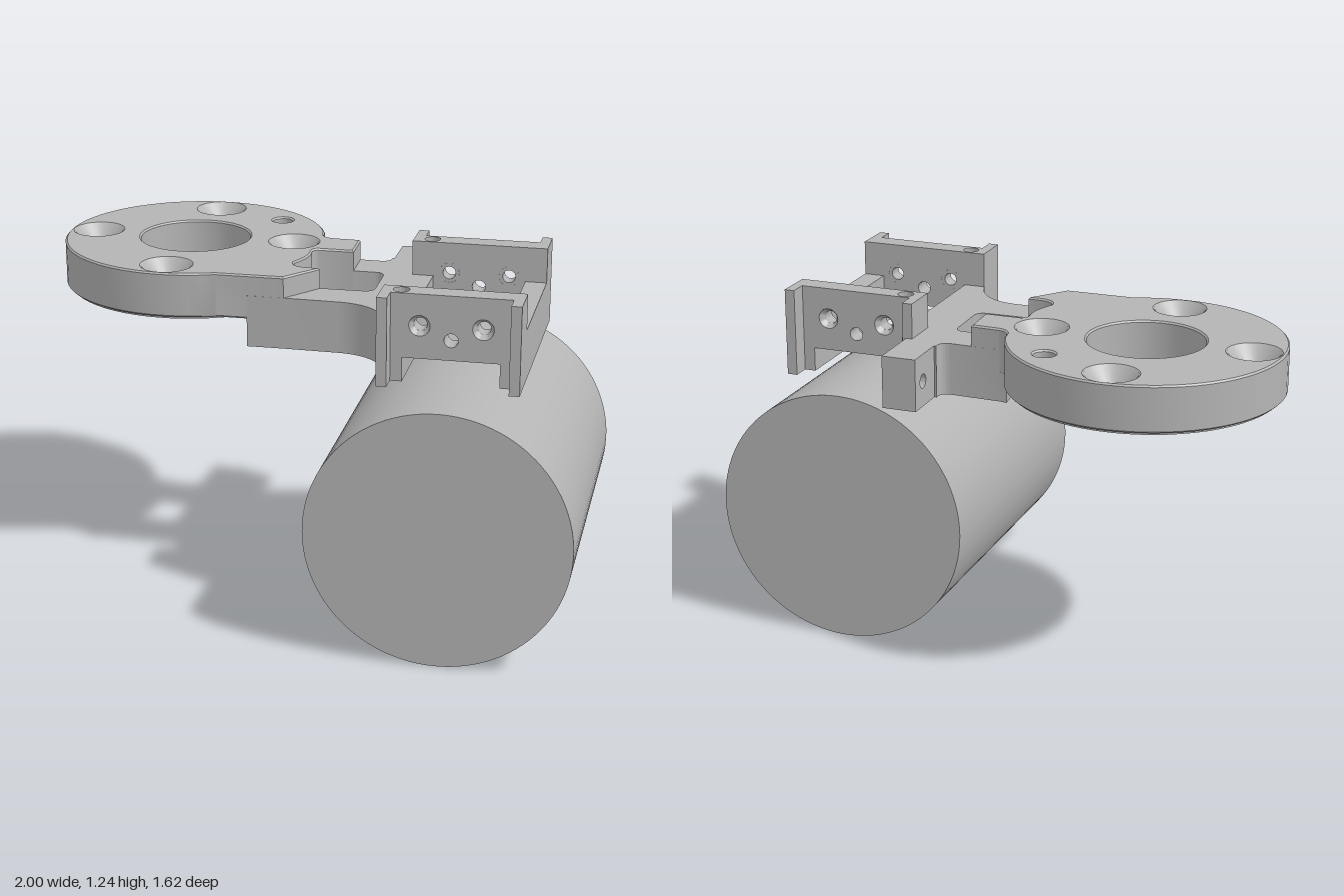
import * as THREE from 'three';
import { toCreasedNormals } from 'three/addons/utils/BufferGeometryUtils.js';

const grey = new THREE.MeshStandardMaterial({ color: 0xb4b4b4 });
grey.name = 'metal grey';

const DISC = { x: -0.525, z: -0.335, r: 0.475 };
const TILT = 0.167;

function part(name, geo, parent, x = 0, y = 0, z = 0) {
  const m = new THREE.Mesh(geo, grey);
  m.name = name;
  m.position.set(x, y, z);
  parent.add(m);
  return m;
}

function box(name, parent, x0, x1, y0, y1, z0, z1) {
  return part(name, new THREE.BoxGeometry(x1 - x0, y1 - y0, z1 - z0), parent,
    (x0 + x1) / 2, (y0 + y1) / 2, (z0 + z1) / 2);
}

function circleHole(shape, x, y, r) {
  shape.holes.push(new THREE.Path().absarc(x, y, r, 0, Math.PI * 2, true));
}

function extrude(shape, depth, bevel = 0) {
  const geo = new THREE.ExtrudeGeometry(shape, {
    depth: depth - 2 * bevel, bevelEnabled: bevel > 0, bevelSize: bevel,
    bevelThickness: bevel, bevelOffset: -bevel, bevelSegments: 1, curveSegments: 24,
  });
  geo.translate(0, 0, bevel);
  return toCreasedNormals(geo, 0.5);
}

// Plan shapes are drawn as (x, -z) and raised along y
const slab = (shape, depth, bevel) => extrude(shape, depth, bevel).rotateX(-Math.PI / 2);

// Lining of a countersunk hole, top at y = 0
function funnel(outer, inner, cone, depth) {
  const pts = [[outer, 0], [inner, -cone], [inner, -depth], [outer, -depth]];
  return toCreasedNormals(new THREE.LatheGeometry(pts.map((p) => new THREE.Vector2(...p)), 24), 0.5);
}

// Pocket between disc and frame; also used as the edge of the neck
function pocketPath() {
  const p = new THREE.Path();
  p.moveTo(-0.07, 0.185);
  p.lineTo(0.14, 0.15);
  p.quadraticCurveTo(0.172, 0.145, 0.168, 0.11);
  p.lineTo(0.145, -0.04);
  p.quadraticCurveTo(0.138, -0.075, 0.1, -0.07);
  p.lineTo(-0.1, -0.04);
  p.quadraticCurveTo(-0.15, -0.025, -0.143, 0.02);
  p.quadraticCurveTo(-0.09, 0.09, -0.09, 0.15);
  p.quadraticCurveTo(-0.09, 0.18, -0.07, 0.185);
  return p;
}

function buildDisc(parent) {
  // Upper plate: round flange with a short neck
  const s = new THREE.Shape();
  s.moveTo(-0.41, -0.126);
  s.lineTo(-0.17, -0.165);
  s.lineTo(-0.05, -0.05);
  s.lineTo(-0.1, -0.04);
  s.quadraticCurveTo(-0.15, -0.025, -0.143, 0.02);
  s.quadraticCurveTo(-0.09, 0.09, -0.09, 0.15);
  s.quadraticCurveTo(-0.09, 0.18, -0.07, 0.185);
  s.lineTo(0.06, 0.163);
  s.lineTo(0.08, 0.305);
  s.lineTo(-0.02, 0.325);
  s.quadraticCurveTo(-0.053, 0.335, -0.057, 0.37);
  s.absarc(DISC.x, -DISC.z, DISC.r, 0.16, Math.PI * 2 - 1.326, false);
  circleHole(s, DISC.x, -DISC.z, 0.2);
  const bolts = [[-0.465, -0.705], [-0.89, -0.4], [-0.59, 0.03], [-0.16, -0.275]];
  bolts.forEach(([x, z]) => circleHole(s, x, -z, 0.088));
  circleHole(s, -0.22, 0.555, 0.037);
  part('mountingDisc', slab(s, 0.16, 0.006), parent, 0, 1.03, 0);
  bolts.forEach(([x, z]) =>
    part('boltHole', funnel(0.09, 0.045, 0.05, 0.15), parent, x, 1.188, z));
  part('discFloor', new THREE.CylinderGeometry(0.457, 0.457, 0.025, 64), parent, DISC.x, 1.0325, DISC.z);
}

function buildArm(parent) {
  // Lower plate hugging the disc, with a pocket
  const s = new THREE.Shape();
  s.moveTo(-0.3, -0.145);
  s.lineTo(-0.17, -0.165);
  s.lineTo(0.02, -0.2);
  s.bezierCurveTo(0.1, -0.215, 0.17, -0.27, 0.18, -0.38);
  s.lineTo(0.225, -0.394);
  s.lineTo(0.334, 0.257);
  s.lineTo(0.196, 0.33);
  s.quadraticCurveTo(0.195, 0.285, 0.15, 0.292);
  s.lineTo(-0.02, 0.325);
  s.lineTo(-0.05, 0.335);
  s.absarc(DISC.x, -DISC.z, DISC.r, 0, -1.08, true);
  s.closePath();
  s.holes.push(pocketPath());
  part('arm', slab(s, 0.185), parent, 0, 0.93, 0);
}

function buildFrame(parent) {
  const g = new THREE.Group();
  g.name = 'clampFrame';
  g.position.set(0.46, 0, 0.2);
  g.rotation.y = -TILT;
  parent.add(g);

  // Side rails and the four corner flanges
  for (const side of [-1, 1]) {
    const xs = (a, b) => (side > 0 ? [a, b] : [-b, -a]);
    box('sideRail', g, ...xs(0.165, 0.241), 0.93, 1.115, -0.37, 0.31);
    box('frontFlange', g, ...xs(0.205, 0.241), 0.93, 1.24, 0.233, 0.375);
    box('rearFlange', g, ...xs(0.205, 0.241), 0.93, 1.24, -0.435, -0.295);
  }

  // End walls with screw holes, countersunk on the outside
  const holes = [[-0.107, 1.13, 0.036], [0.107, 1.13, 0.036], [0, 1.085, 0.024]];
  for (const [z0, z1, dir] of [[0.233, 0.31, 1], [-0.37, -0.295, -1]]) {
    const s = new THREE.Shape();
    s.moveTo(-0.144, 1.015);
    s.lineTo(0.21, 1.015);
    s.lineTo(0.21, 1.24);
    s.lineTo(-0.144, 1.24);
    s.closePath();
    holes.forEach((h) => circleHole(s, ...h));
    part('endWall', extrude(s, z1 - z0), g, 0, 0, z0);
    for (const [x, y, r] of holes.slice(0, 2)) {
      const f = part('screwHole', funnel(r, 0.023, 0.02, z1 - z0), g, x, y, dir > 0 ? z1 : z0);
      f.rotation.x = dir * Math.PI / 2;
    }
    // Wall end with an upright hole
    const e = new THREE.Shape();
    e.moveTo(-0.21, -z1);
    e.lineTo(-0.144, -z1);
    e.lineTo(-0.144, -z0);
    e.lineTo(-0.21, -z0);
    e.closePath();
    circleHole(e, -0.175, -(z0 + z1) / 2, 0.028);
    part('wallEnd', slab(e, 0.225), g, 0, 1.015, 0);
  }

  // Rear tab with a cross hole
  const t = new THREE.Shape();
  t.moveTo(0.42, 0.93);
  t.lineTo(0.64, 0.93);
  t.lineTo(0.64, 1.115);
  t.lineTo(0.42, 1.115);
  t.closePath();
  circleHole(t, 0.575, 1.02, 0.025);
  part('rearTab', extrude(t, 0.122).rotateY(Math.PI / 2), g, -0.34, 0, 0);

  // Motor body below the frame
  const body = part('cylinderBody', new THREE.CylinderGeometry(0.456, 0.456, 1.085, 96), g, 0, 0.456, 0);
  body.rotation.x = Math.PI / 2;
}

export function createModel() {
  const model = new THREE.Group();
  model.name = 'cylinderBracket';
  buildDisc(model);
  buildArm(model);
  buildFrame(model);
  return model;
}
